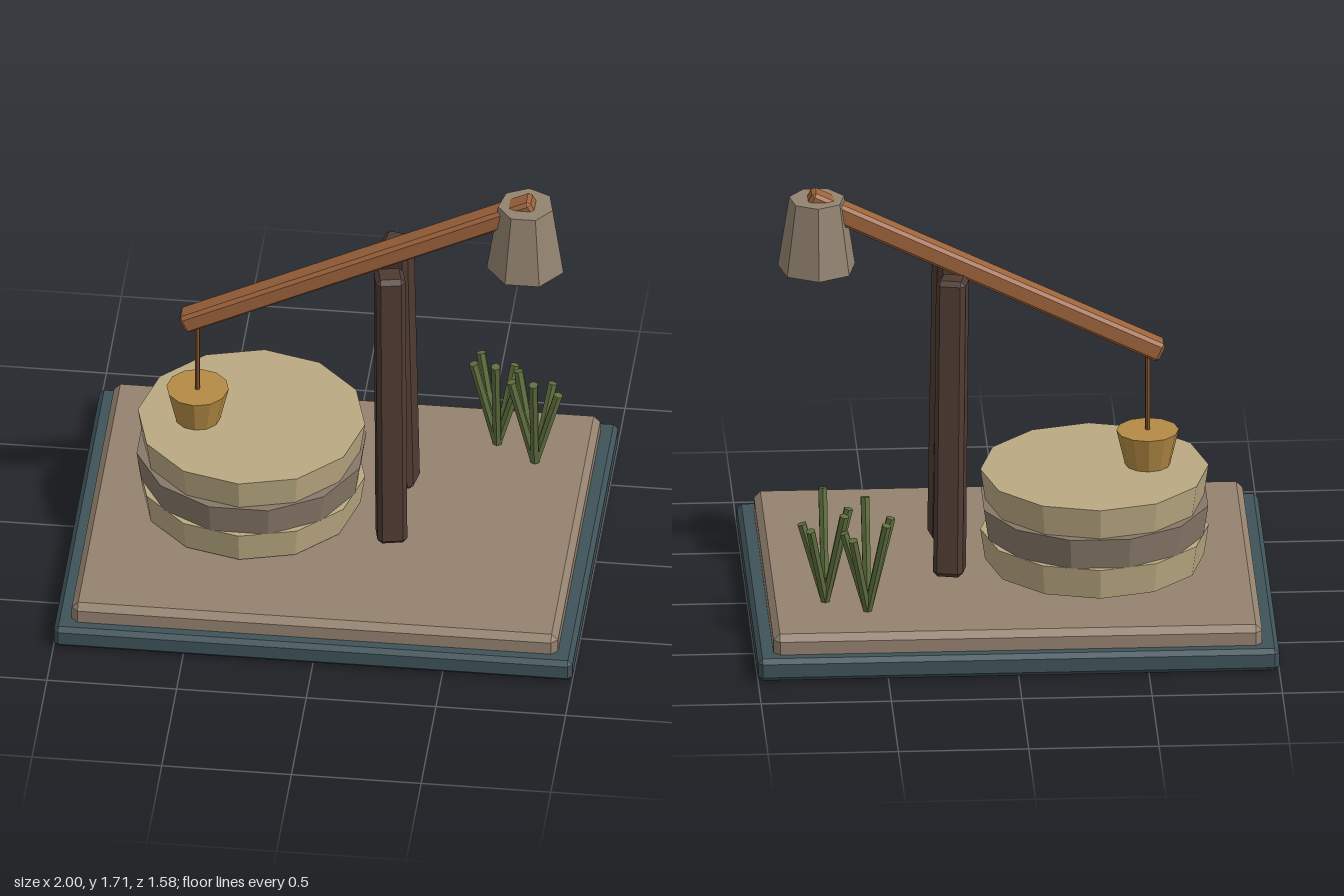
import * as THREE from 'three';
import { ConvexGeometry } from 'three/addons/geometries/ConvexGeometry.js';

const mat = (name, color) => {
  const m = new THREE.MeshStandardMaterial({ color, flatShading: true });
  m.name = name;
  return m;
};

// Box with every edge cut at 45 degrees by c
function chamferBox(w, h, d, c) {
  const pts = [];
  for (const x of [-1, 1]) for (const y of [-1, 1]) for (const z of [-1, 1]) {
    for (let full = 0; full < 3; full++) {
      const s = [w / 2, h / 2, d / 2].map((v, i) => (i === full ? v : v - c));
      pts.push(new THREE.Vector3(x * s[0], y * s[1], z * s[2]));
    }
  }
  return new ConvexGeometry(pts);
}

export function createModel() {
  const model = new THREE.Group();
  model.name = 'sweepWell';

  const slate = mat('slate', 0x3f5359);
  const earth = mat('earth', 0x958270);
  const paleStone = mat('paleStone', 0xbaa982);
  const darkStone = mat('darkStone', 0x877868);
  const weightStone = mat('weightStone', 0x938370);
  const darkWood = mat('darkWood', 0x4f3b32);
  const beamWood = mat('beamWood', 0x9e643c);
  const ropeBrown = mat('ropeBrown', 0x84532f);
  const bucketGold = mat('bucketGold', 0xb48a44);
  const reedGreen = mat('reedGreen', 0x5f6f3e);

  const add = (name, geometry, material, x, y, z, parent = model) => {
    const mesh = new THREE.Mesh(geometry, material);
    mesh.name = name;
    mesh.position.set(x, y, z);
    parent.add(mesh);
    return mesh;
  };

  // Stepped base
  add('basePlinth', chamferBox(2, 0.09, 1.575, 0.018), slate, 0, 0.045, 0);
  add('groundSlab', chamferBox(1.875, 0.11, 1.47, 0.025), earth, 0, 0.112, 0);

  // Three stacked well courses, the middle one turned half a facet
  for (let i = 0; i < 3; i++) {
    const mid = i === 1;
    const r = mid ? 0.445 : 0.438;
    const ring = add('wellCourse', new THREE.CylinderGeometry(r, r - 0.018, 0.124, 12),
      mid ? darkStone : paleStone, -0.33, 0.242 + i * 0.124, -0.036);
    if (mid) ring.rotation.y = Math.PI / 12;
  }

  // Bucket and rope
  add('bucket', new THREE.CylinderGeometry(0.12, 0.087, 0.14, 12), bucketGold, -0.535, 0.622, -0.012);
  add('rope', new THREE.CylinderGeometry(0.01, 0.01, 0.36, 6), ropeBrown, -0.535, 0.86, -0.006);

  // Two posts leaning together
  for (const s of [-1, 1]) {
    const post = add('post', chamferBox(0.115, 1.2, 0.115, 0.018), darkWood, 0.227, 0.784, s * 0.15 - 0.004);
    post.rotation.order = 'YXZ';
    post.rotation.set(-s * 0.06, s * 0.21, 0);
  }

  // Sweep beam
  const beam = add('sweepBeam', chamferBox(1.51, 0.078, 0.088, 0.013), beamWood, 0.088, 1.346, 0);
  beam.rotation.z = 0.456;

  // Seven-sided counterweight, flat side to the front
  const weight = add('counterweight', new THREE.CylinderGeometry(0.108, 0.152, 0.285, 7),
    weightStone, 0.733, 1.532, 0);
  weight.rotation.y = Math.PI;

  // Reed clumps: each stem is [dx, height, dz] from the clump's foot
  const stems = [
    [0.005, 0.435, 0.095], [-0.09, 0.38, 0.01], [0.09, 0.325, 0],
    [0.06, 0.325, -0.075], [-0.07, 0.38, -0.065],
  ];
  const up = new THREE.Vector3(0, 1, 0);
  for (const [x, z] of [[0.565, -0.495], [0.722, -0.393]]) {
    const clump = new THREE.Group();
    clump.name = 'reedClump';
    clump.position.set(x, 0.165, z);
    model.add(clump);
    for (const s of stems) {
      const tip = new THREE.Vector3(...s);
      const stem = add('reed', new THREE.CylinderGeometry(0.019, 0.017, tip.length(), 6), reedGreen,
        tip.x / 2, tip.y / 2, tip.z / 2, clump);
      stem.quaternion.setFromUnitVectors(up, tip.clone().normalize());
    }
  }

  return model;
}
